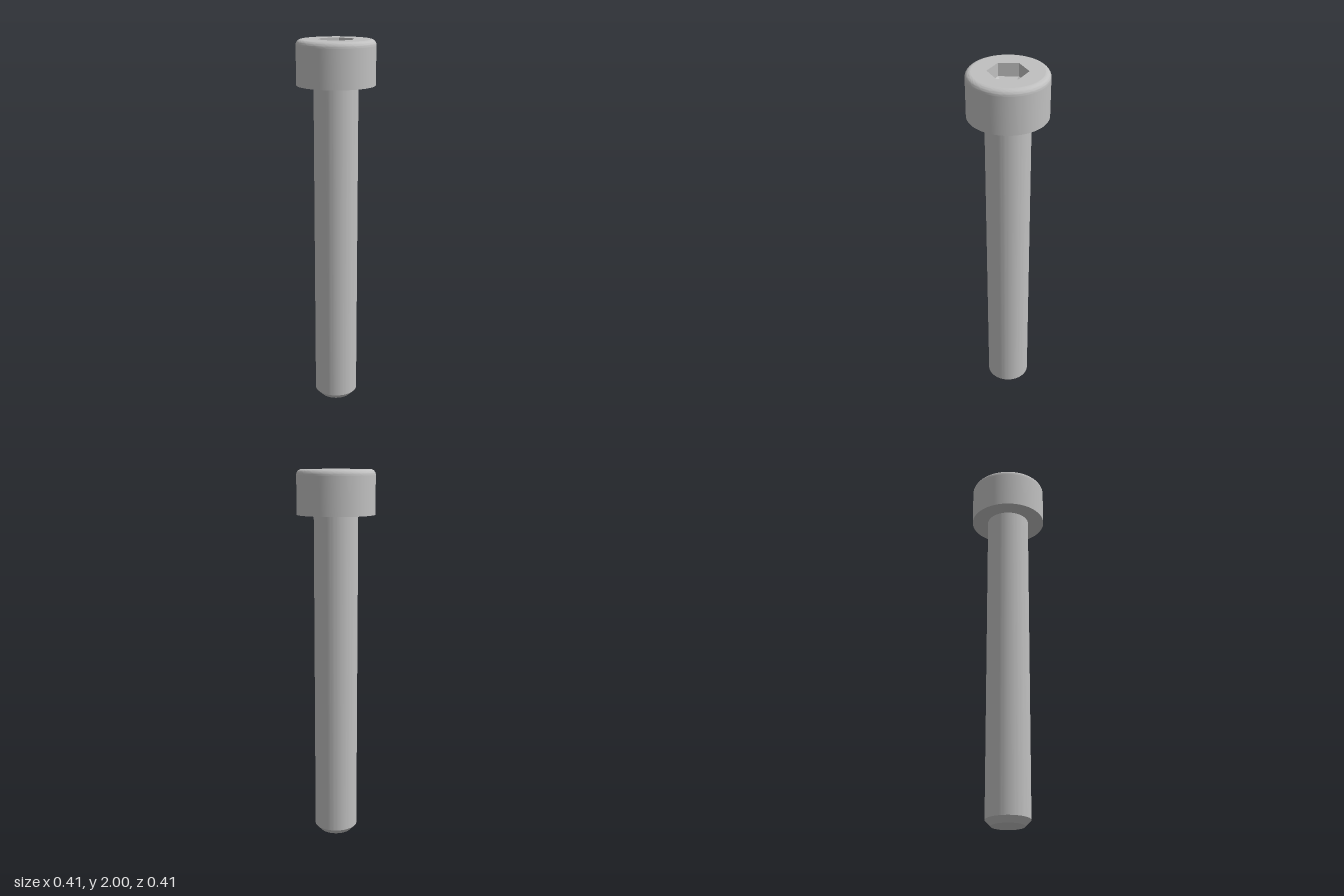
import * as THREE from 'three';
import { toCreasedNormals } from 'three/addons/utils/BufferGeometryUtils.js';

const SEGMENTS = 96;
const HEAD_R = 0.206, SHANK_R = 0.1165, TIP_R = 0.087;
const HEAD_Y = 1.768, TOP_Y = 2, FILLET = 0.028;
const HEX_R = 0.102, WALL_DEPTH = 0.07, FLOOR_DEPTH = 0.12;

export function createModel() {
  const steel = new THREE.MeshStandardMaterial({ color: 0xc0c0c0 });
  steel.name = 'steel grey';
  const model = new THREE.Group();
  model.name = 'socketHeadBolt';

  const add = (name, geometry) => {
    const mesh = new THREE.Mesh(geometry, steel);
    mesh.name = name;
    model.add(mesh);
    return mesh;
  };
  const turned = (points) => toCreasedNormals(
    new THREE.LatheGeometry(points.map(([r, y]) => new THREE.Vector2(r, y)), SEGMENTS), 0.4);

  // Plain shank with a chamfered tip
  add('shank', turned([[0, 0], [TIP_R, 0], [SHANK_R, 0.031], [SHANK_R, HEAD_Y]]));

  // Head: flat underside, straight wall and rounded top edge
  const profile = [[SHANK_R, HEAD_Y], [HEAD_R, HEAD_Y], [HEAD_R, TOP_Y - FILLET - 0.004]];
  const steps = 8;
  for (let i = 0; i <= steps; i++) {
    const a = (i / steps) * Math.PI / 2;
    profile.push([HEAD_R - FILLET + FILLET * Math.cos(a), TOP_Y - FILLET + FILLET * Math.sin(a)]);
  }
  add('head', turned(profile));

  // Flat top face with the hexagonal opening, corners on the z axis
  const face = new THREE.Shape().absarc(0, 0, HEAD_R - FILLET, 0, Math.PI * 2);
  const opening = [];
  for (let i = 0; i < 6; i++) {
    const a = (i / 6) * Math.PI * 2;
    opening.push(new THREE.Vector2(HEX_R * Math.sin(a), HEX_R * Math.cos(a)));
  }
  face.holes.push(new THREE.Path(opening));
  const top = add('headTop', new THREE.ShapeGeometry(face, SEGMENTS));
  top.rotation.x = -Math.PI / 2;
  top.position.y = TOP_Y;

  // Hex socket: profile runs downwards so that its faces point inwards
  const socket = new THREE.LatheGeometry([
    new THREE.Vector2(HEX_R, TOP_Y),
    new THREE.Vector2(HEX_R, TOP_Y - WALL_DEPTH),
    new THREE.Vector2(0, TOP_Y - FLOOR_DEPTH),
  ], 6).toNonIndexed();
  socket.computeVertexNormals();
  add('hexSocket', socket);

  return model;
}
